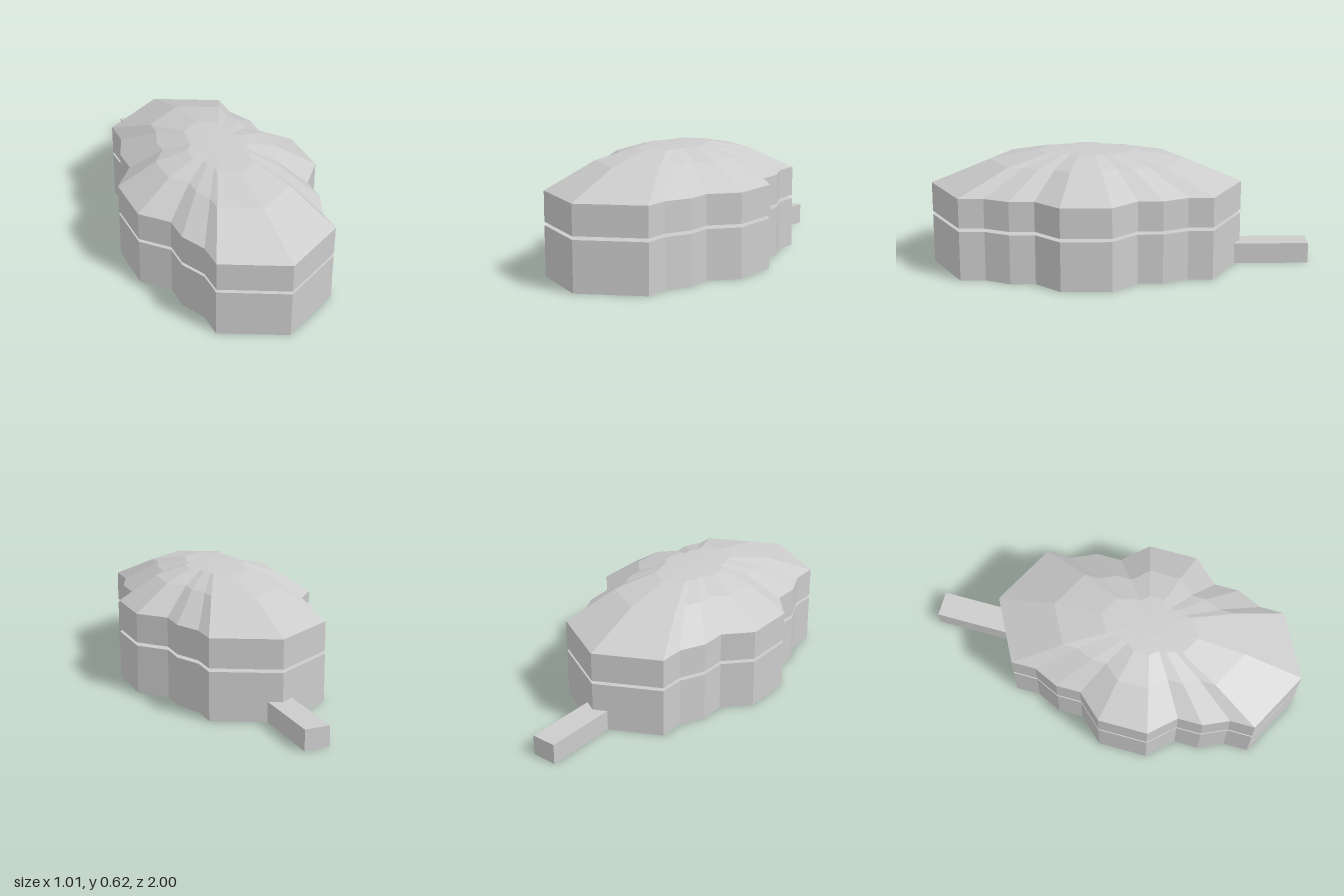
import * as THREE from 'three';

const CZ = 0.18; // centre of the building's plan

// Scalloped plan, relative to its centre: one quarter, mirrored to a closed loop
const quarter = [[0, 0.82], [0.325, 0.65], [0.325, 0.52], [0.385, 0.39], [0.385, 0.26], [0.505, 0.13]];
const half = [...quarter, ...quarter.slice().reverse().map(([x, z]) => [x, -z])];
const plan = [...half, ...half.slice(1, -1).reverse().map(([x, z]) => [-x, z])];

const material = new THREE.MeshStandardMaterial({ color: 0xcccccc, flatShading: true, side: THREE.DoubleSide });

function add(parent, name, geometry, x = 0, y = 0, z = 0) {
  const mesh = new THREE.Mesh(geometry, material);
  mesh.name = name;
  mesh.position.set(x, y, z);
  parent.add(mesh);
  return mesh;
}

// Skin through scaled copies of the plan; levels are [scale, height]
function loft(levels) {
  const positions = [];
  for (let l = 0; l < levels.length - 1; l++) {
    const [s0, y0] = levels[l], [s1, y1] = levels[l + 1];
    plan.forEach(([ax, az], i) => {
      const [bx, bz] = plan[(i + 1) % plan.length];
      const a = [ax * s0, y0, az * s0], b = [bx * s0, y0, bz * s0];
      const c = [bx * s1, y1, bz * s1], d = [ax * s1, y1, az * s1];
      positions.push(...a, ...b, ...c);
      if (s1 > 0) positions.push(...a, ...c, ...d);
    });
  }
  const g = new THREE.BufferGeometry();
  g.setAttribute('position', new THREE.Float32BufferAttribute(positions, 3));
  g.computeVertexNormals();
  return g;
}

// Flat ceiling with a front and a back opening, leaving a bridge across the middle
function ceiling() {
  const toV = ([x, z]) => new THREE.Vector2(x, -z);
  const shape = new THREE.Shape(plan.map(toV));
  const k = 0.7;
  const opening = [...quarter.slice(0, 5), [0.27 / k, 0.13 / k]].map(([x, z]) => [x * k, z * k]);
  for (const side of [1, -1]) {
    const loop = [...opening, ...opening.slice(1).reverse().map(([x, z]) => [-x, z])];
    shape.holes.push(new THREE.Path(loop.map(([x, z]) => toV([x, z * side]))));
  }
  return new THREE.ShapeGeometry(shape).rotateX(-Math.PI / 2);
}

export function createModel() {
  const model = new THREE.Group();
  model.name = 'domedHall';

  // Walls and the recessed band between the two storeys
  add(model, 'lowerWalls', loft([[1, 0], [1, 0.262]]), 0, 0, CZ);
  add(model, 'recessedBand', loft([[0.74, 0.262], [0.74, 0.28]]), 0, 0, CZ);
  add(model, 'upperWalls', loft([[1, 0.28], [1, 0.437]]), 0, 0, CZ);
  add(model, 'lowerCeiling', ceiling(), 0, 0.262, CZ);
  add(model, 'upperFloor', ceiling(), 0, 0.28, CZ);

  // Faceted dome
  add(model, 'dome', loft([[1, 0.437], [0.62, 0.566], [0.31, 0.616], [0.12, 0.62], [0, 0.62]]), 0, 0, CZ);

  // Entrance passage at the back
  add(model, 'entrancePassage', new THREE.BoxGeometry(0.135, 0.11, 0.4), 0, 0.055, -0.8);

  // Large seats on the floor inside
  [[-0.07, 0.56], [0.13, 0.33], [0, -0.4]].forEach(([x, z]) => {
    const seat = new THREE.Group();
    seat.name = 'largeSeat';
    seat.position.set(x, 0, z);
    add(seat, 'seatBase', new THREE.BoxGeometry(0.09, 0.025, 0.06), 0, 0.0125, 0);
    add(seat, 'seatBack', new THREE.BoxGeometry(0.09, 0.06, 0.015), 0, 0.03, -0.035);
    for (const s of [-1, 1]) add(seat, 'seatArm', new THREE.BoxGeometry(0.015, 0.04, 0.06), s * 0.05, 0.02, 0);
    model.add(seat);
  });

  // Small stools spread around the hall
  const stools = [[0.14, 0.73], [-0.04, 0.69], [-0.22, 0.5], [-0.23, 0.12], [0.26, 0.23],
    [0.26, -0.03], [0.24, -0.33], [-0.02, -0.1], [-0.23, -0.14]];
  for (const [x, z] of stools) add(model, 'stool', new THREE.BoxGeometry(0.03, 0.022, 0.03), x, 0.011, z);

  return model;
}
